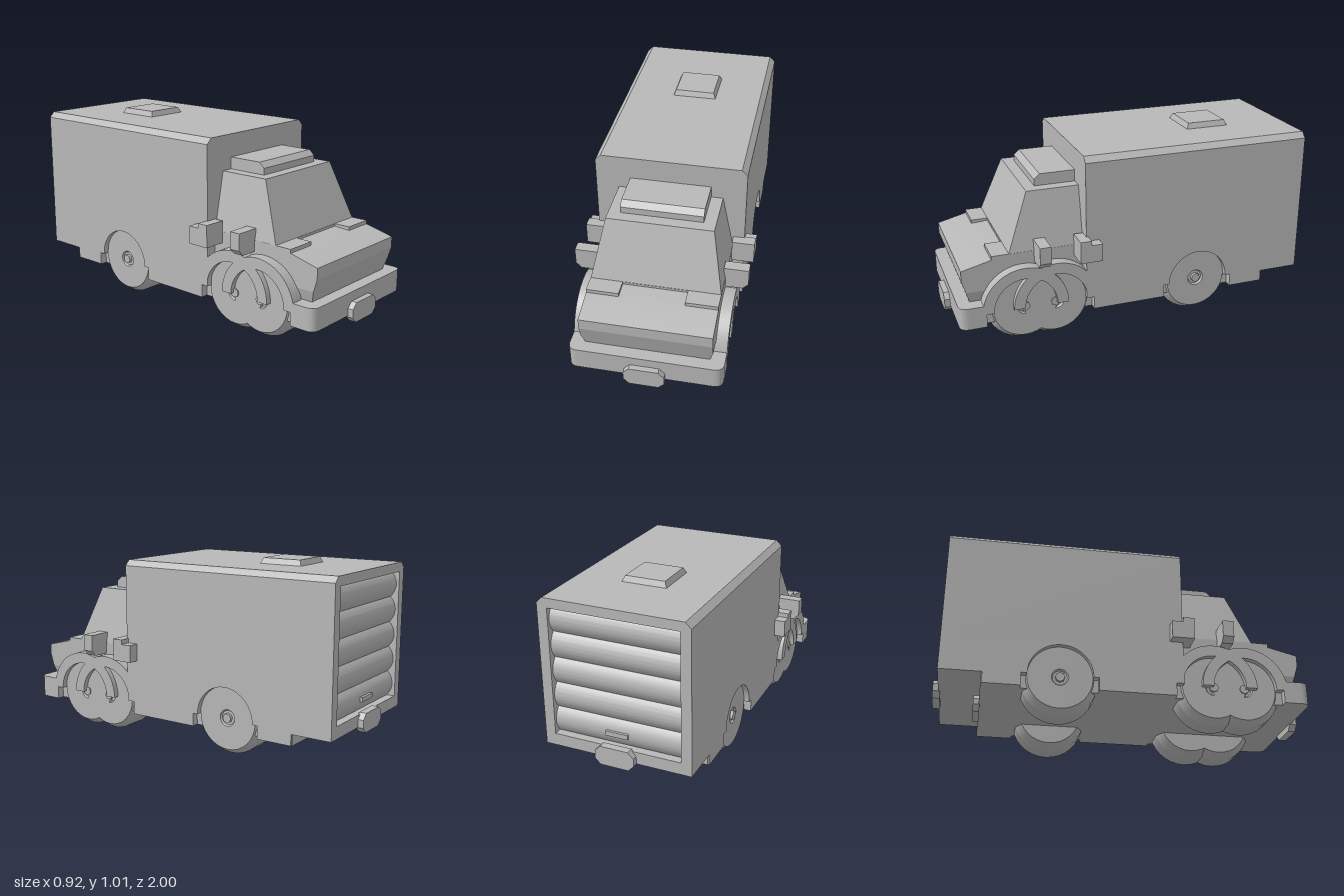
import * as THREE from 'three';
import { toCreasedNormals } from 'three/addons/utils/BufferGeometryUtils.js';

const paint = new THREE.MeshStandardMaterial({ color: 0xb8b8b8 });
paint.name = 'plain grey';

export function createModel() {
  const root = new THREE.Group();
  root.name = 'boxTruck';

  function add(name, geo, crease = 0.6) {
    const mesh = new THREE.Mesh(toCreasedNormals(geo, crease), paint);
    mesh.name = name;
    root.add(mesh);
    return mesh;
  }
  const poly = pts => new THREE.Shape(pts.map(p => new THREE.Vector2(p[0], p[1])));
  const extrude = (shape, depth) => new THREE.ExtrudeGeometry(shape, { depth, bevelEnabled: false, curveSegments: 20 });
  // Shape in (x, y), extruded from z0 to z1
  const alongZ = (shape, z0, z1) => extrude(shape, z1 - z0).translate(0, 0, z0);
  // Shape in (z, y), extruded from x0 to x1
  const alongX = (shape, x0, x1) => extrude(shape, x1 - x0).rotateY(-Math.PI / 2).translate(x1, 0, 0);
  // Shape in (x, -z), extruded from y0 to y1
  const alongY = (shape, y0, y1) => extrude(shape, y1 - y0).rotateX(-Math.PI / 2).translate(0, y0, 0);
  const block = (x0, x1, y0, y1, z0, z1) =>
    new THREE.BoxGeometry(x1 - x0, y1 - y0, z1 - z0).translate((x0 + x1) / 2, (y0 + y1) / 2, (z0 + z1) / 2);
  // Block whose top rectangle differs from its bottom one: [halfWidth, zBack, zFront]
  function tapered(y0, bottom, y1, top) {
    const g = new THREE.BoxGeometry(1, 1, 1);
    const p = g.attributes.position;
    for (let i = 0; i < p.count; i++) {
      const up = p.getY(i) > 0;
      const [w, zb, zf] = up ? top : bottom;
      p.setXYZ(i, Math.sign(p.getX(i)) * w, up ? y1 : y0, p.getZ(i) > 0 ? zf : zb);
    }
    return g;
  }
  // Rectangle with cut corners
  function cutRect(w, y0, y1, c) {
    return poly([[-w + c, y0], [w - c, y0], [w, y0 + c], [w, y1 - c], [w - c, y1], [-w + c, y1], [-w, y1 - c], [-w, y0 + c]]);
  }

  // Cargo box, with a frame around the rear door
  const roofline = [[0.4, 0.955], [0.37, 0.985], [-0.37, 0.985], [-0.4, 0.955]];
  add('cargoBox', alongZ(poly([[-0.4, 0.39], [0.4, 0.39], ...roofline]), -0.92, 0.29));
  const frame = poly([[-0.4, 0.19], [0.4, 0.19], ...roofline]);
  frame.holes.push(poly([[-0.345, 0.255], [-0.345, 0.935], [0.345, 0.935], [0.345, 0.255]]));
  add('doorFrame', alongZ(frame, -0.97, -0.92));
  add('boxFloor', block(-0.36, 0.36, 0.19, 0.39, -0.92, 0.29));
  add('roofHatch', tapered(0.98, [0.123, -0.635, -0.39], 1.015, [0.108, -0.62, -0.405]));

  // Roller door with bulging slats
  const slat = 0.68 / 5;
  const door = new THREE.Shape();
  door.moveTo(-0.9, 0.255);
  door.lineTo(-0.925, 0.255);
  for (let i = 0; i < 5; i++) {
    const y = 0.255 + i * slat;
    door.quadraticCurveTo(-0.985, y + slat / 2, -0.925, y + slat);
  }
  door.lineTo(-0.9, 0.935);
  add('rollerDoor', alongX(door, -0.345, 0.345));
  add('doorHandle', block(-0.06, 0.06, 0.31, 0.335, -0.968, -0.93));

  // Lower sides with the rear wheel arch cut out
  const rearZ = -0.355, axleY = 0.2;
  const skirt = new THREE.Shape();
  skirt.moveTo(0.29, 0.39);
  skirt.lineTo(-0.92, 0.39);
  skirt.lineTo(-0.92, 0.19);
  skirt.lineTo(-0.75, 0.19);
  skirt.lineTo(-0.75, 0.13);
  skirt.lineTo(rearZ - 0.2, 0.13);
  skirt.lineTo(rearZ - 0.2, axleY);
  skirt.lineTo(rearZ - 0.17, axleY);
  skirt.absarc(rearZ, axleY, 0.17, Math.PI, 0, true);
  skirt.lineTo(rearZ + 0.2, axleY);
  skirt.lineTo(rearZ + 0.2, 0.13);
  skirt.lineTo(0.25, 0.13);
  skirt.lineTo(0.25, axleY);
  skirt.lineTo(0.29, axleY);

  // Chassis and bumpers
  add('chassis', block(-0.36, 0.36, 0.13, 0.25, -0.75, 0.86));
  const bumper = new THREE.Shape();
  bumper.moveTo(-0.4, -0.83);
  bumper.lineTo(-0.4, -0.92);
  bumper.quadraticCurveTo(-0.4, -0.97, -0.35, -0.97);
  bumper.lineTo(0.35, -0.97);
  bumper.quadraticCurveTo(0.4, -0.97, 0.4, -0.92);
  bumper.lineTo(0.4, -0.83);
  add('frontBumper', alongY(bumper, 0.13, 0.25));
  add('rearCrossbar', block(-0.39, 0.39, 0.13, 0.19, -0.755, -0.6));
  add('frontPlate', alongZ(cutRect(0.106, 0.095, 0.2, 0.03), 0.96, 1.0));
  add('rearPlate', alongZ(cutRect(0.106, 0.16, 0.262, 0.03), -1.0, -0.96));
  add('lowerRearPlate', alongZ(cutRect(0.106, 0.1, 0.19, 0.03), -0.785, -0.75));

  // Cab, nose and roof fairing
  add('cabLower', block(-0.34, 0.34, 0.2, 0.495, 0.28, 0.69));
  add('cabUpper', tapered(0.49, [0.34, 0.28, 0.69], 0.8, [0.278, 0.28, 0.57]));
  add('hood', alongX(poly([[0.65, 0.31], [0.92, 0.31], [0.94, 0.375], [0.94, 0.435], [0.78, 0.475], [0.65, 0.485]]), -0.34, 0.34), 0.2);
  add('noseLower', tapered(0.24, [0.32, 0.65, 0.9], 0.31, [0.34, 0.65, 0.92]));
  add('roofFairing', alongX(poly([[0.28, 0.79], [0.51, 0.79], [0.51, 0.835], [0.48, 0.863], [0.28, 0.863]]), -0.215, 0.215));

  // Tyre with bevelled shoulders and a recessed hub, spun around x
  const tyreProfile = [[0, 0.155], [0.17, 0.155], [0.2, 0.215], [0.2, 0.325], [0.17, 0.37], [0.045, 0.37], [0.035, 0.355], [0, 0.355]]
    .map(p => new THREE.Vector2(p[0], p[1]));

  for (const s of [1, -1]) {
    const side = s > 0 ? 'left' : 'right';
    // Places a (z, y) shape on this side of the truck
    const onSide = (shape, x0, x1) => (s > 0 ? alongX(shape, x0, x1) : alongX(shape, -x1, -x0));

    add(side + 'Skirt', onSide(skirt, 0.35, 0.4));
    add(side + 'HoodPad', onSide(poly([[0.66, 0.46], [0.78, 0.465], [0.78, 0.495], [0.66, 0.495]]), 0.17, 0.34));

    // Wheels: an overlapping front pair and one rear wheel
    for (const z of [0.62, 0.455, rearZ]) {
      const tyre = new THREE.LatheGeometry(tyreProfile, 32).rotateZ(-s * Math.PI / 2);
      add(side + 'Wheel', tyre.translate(0, axleY, z), 0.4);
      const hub = new THREE.CylinderGeometry(0.025, 0.025, 0.03, 8).rotateZ(Math.PI / 2);
      add(side + 'Hub', hub.translate(s * 0.362, axleY, z), 0.9);
    }

    // Crossing front fender arches
    for (const z of [0.62, 0.455]) {
      const arch = new THREE.Shape();
      arch.absarc(z, axleY, 0.23, 0, Math.PI, false);
      arch.absarc(z, axleY, 0.17, Math.PI, 0, true);
      add(side + 'FenderArch', onSide(arch, 0.33, 0.4));
    }

    // Mirror on the cab and bracket on the box corner
    const lo = 0.435, hi = 0.555;
    const mirror = poly([[0.33, lo], [0.43, lo], [0.46, lo + 0.03], [0.46, hi], [0.33, hi]].map(p => [s * p[0], p[1]]));
    add(side + 'Mirror', alongZ(mirror, 0.495, 0.555));
    const bracket = poly([[0.22, lo], [0.34, lo], [0.34, hi], [0.28, hi], [0.28, 0.53], [0.22, 0.53]]);
    add(side + 'Bracket', onSide(bracket, 0.34, 0.46));
  }
  return root;
}
